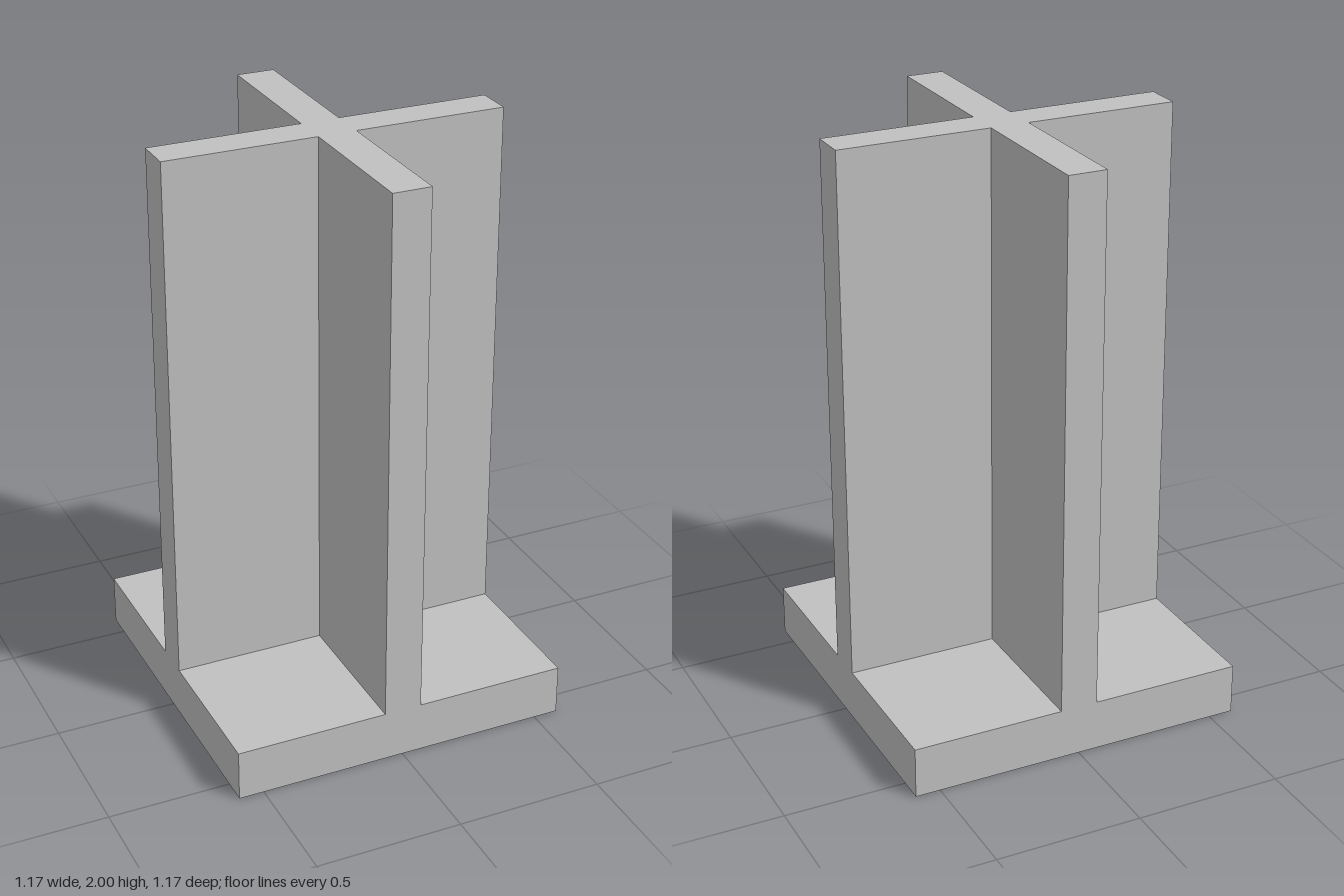
import * as THREE from 'three';

const HALF = 0.585;  // half width of the base and of the fins
const T = 0.065;     // half thickness of the fins
const BASE_H = 0.175;
const HEIGHT = 2;

export function createModel() {
  const group = new THREE.Group();
  group.name = 'crossPost';
  const grey = new THREE.MeshStandardMaterial({ color: 0xc0c0c0 });
  grey.name = 'plain grey';

  // Square base plate
  const base = new THREE.Mesh(new THREE.BoxGeometry(HALF * 2, BASE_H, HALF * 2), grey);
  base.name = 'basePlate';
  base.position.y = BASE_H / 2;
  group.add(base);

  // Four fins meeting in a plus-shaped column: one arm outline turned four times
  const arm = [[HALF, -T], [HALF, T], [T, T]];
  const points = [];
  for (let i = 0; i < 4; i++) {
    for (const [x, y] of arm) {
      points.push(new THREE.Vector2(x, y).rotateAround(new THREE.Vector2(), i * Math.PI / 2));
    }
  }
  const columnGeometry = new THREE.ExtrudeGeometry(new THREE.Shape(points), {
    depth: HEIGHT - BASE_H, bevelEnabled: false,
  });
  columnGeometry.rotateX(-Math.PI / 2);
  const column = new THREE.Mesh(columnGeometry, grey);
  column.name = 'crossColumn';
  column.position.y = BASE_H;
  group.add(column);

  return group;
}
